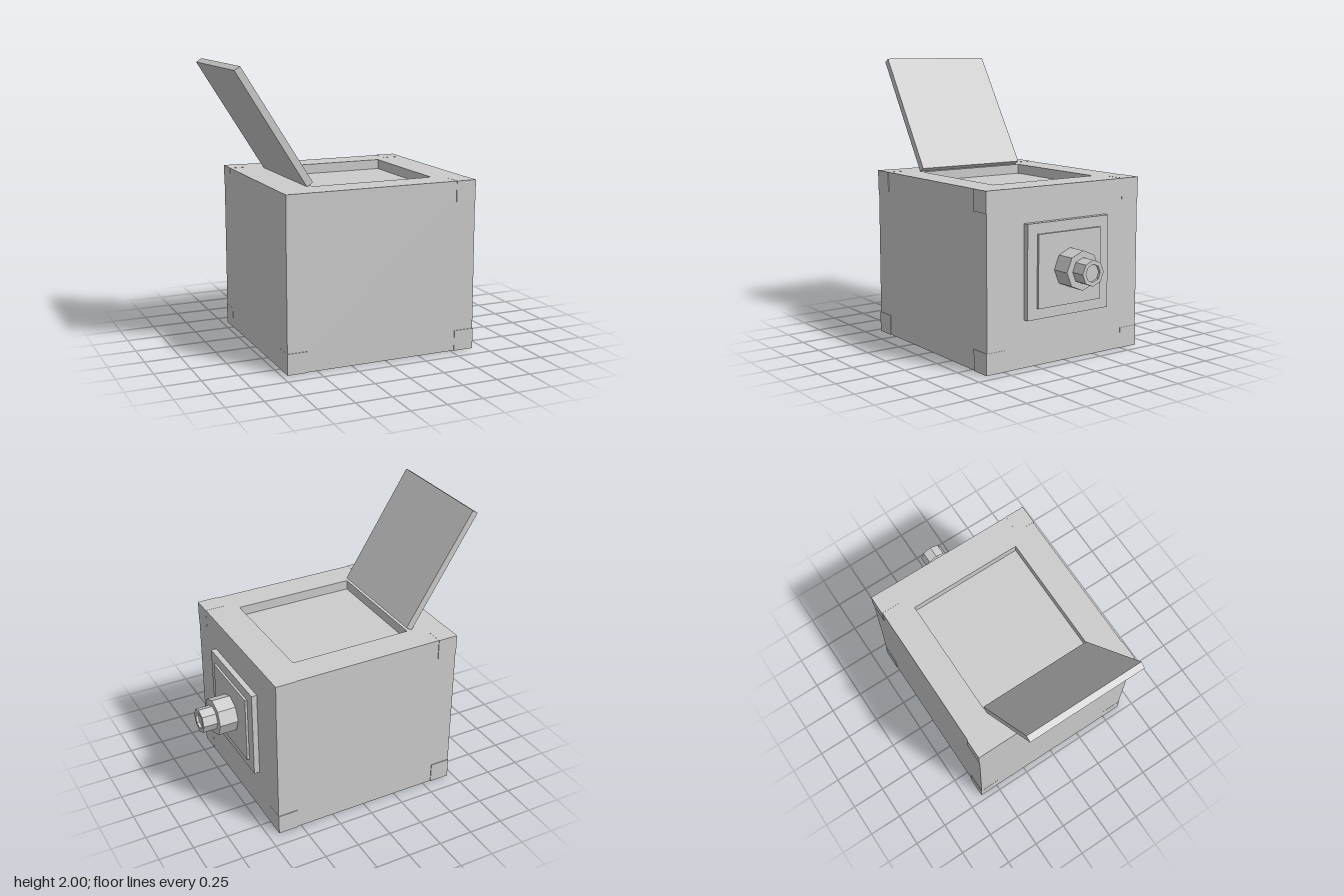
import * as THREE from 'three';

const material = new THREE.MeshStandardMaterial({ color: 0xcccccc });
const flatMaterial = new THREE.MeshStandardMaterial({ color: 0xcccccc, flatShading: true });

// Solid made of stacked rectangular rings, capped at both ends
function ringSolid(rings) {
  const loops = rings.map(([x0, x1, z, y]) => [
    [x0, y, z], [x1, y, z], [x1, y, -z], [x0, y, -z],
  ]);
  const pos = [];
  const quad = (a, b, c, d) => pos.push(...a, ...b, ...c, ...a, ...c, ...d);
  for (let r = 0; r < loops.length - 1; r++) {
    for (let i = 0; i < 4; i++) {
      const j = (i + 1) % 4;
      quad(loops[r][i], loops[r][j], loops[r + 1][j], loops[r + 1][i]);
    }
  }
  const first = loops[0], last = loops[loops.length - 1];
  quad(first[3], first[2], first[1], first[0]);
  quad(...last);
  const g = new THREE.BufferGeometry();
  g.setAttribute('position', new THREE.Float32BufferAttribute(pos, 3));
  g.computeVertexNormals();
  return g;
}

export function createModel() {
  const model = new THREE.Group();
  const add = (name, geometry, x = 0, y = 0, z = 0, mat = material) => {
    const mesh = new THREE.Mesh(geometry, mat);
    mesh.name = name;
    mesh.position.set(x, y, z);
    model.add(mesh);
    return mesh;
  };

  // Box body with a shallow tray sunk into its top
  const x0 = -0.709, x1 = 0.671, depth = 0.635;
  add('boxBody', ringSolid([
    [x0, x1, depth, 0.001],
    [x0, x1, depth, 1.199],
    [-0.44, 0.44, 0.425, 1.199],
    [-0.44, 0.44, 0.425, 1.13],
  ]));

  // Corner blocks, standing barely proud of the front and back
  const size = 0.145;
  const corner = new THREE.BoxGeometry(size, size, size);
  for (const x of [-0.71 + size / 2, 0.672 - size / 2])
    for (const y of [size / 2, 1.2 - size / 2])
      for (const s of [-1, 1])
        add('cornerBlock', corner, x, y, s * (0.64 - size / 2));

  // Open lid, leaning outwards from the edge of the tray
  const lidShape = new THREE.Shape([
    new THREE.Vector2(-0.478, 1.197),
    new THREE.Vector2(-0.436, 1.224),
    new THREE.Vector2(-0.924, 2.0),
    new THREE.Vector2(-0.964, 1.975),
  ]);
  const lid = new THREE.ExtrudeGeometry(lidShape, { depth: 0.846, bevelEnabled: false });
  add('lid', lid, 0, 0, -0.423);

  // Stepped mounting plates on the side
  const cy = 0.645;
  add('outerPlate', new THREE.BoxGeometry(0.04, 0.64, 0.68), 0.69, cy, 0);
  add('innerPlate', new THREE.BoxGeometry(0.03, 0.495, 0.525), 0.711, cy, 0);

  // Eight-sided stepped crank socket with a hollowed end
  const profile = [
    [0.134, 0.72], [0.134, 0.86], [0.088, 0.86], [0.088, 0.963],
    [0.06, 0.963], [0.06, 0.945], [0, 0.945],
  ].map(([r, h]) => new THREE.Vector2(r, h));
  const socket = add('crankSocket', new THREE.LatheGeometry(profile, 8), 0, cy, 0, flatMaterial);
  socket.rotation.z = -Math.PI / 2;

  return model;
}
